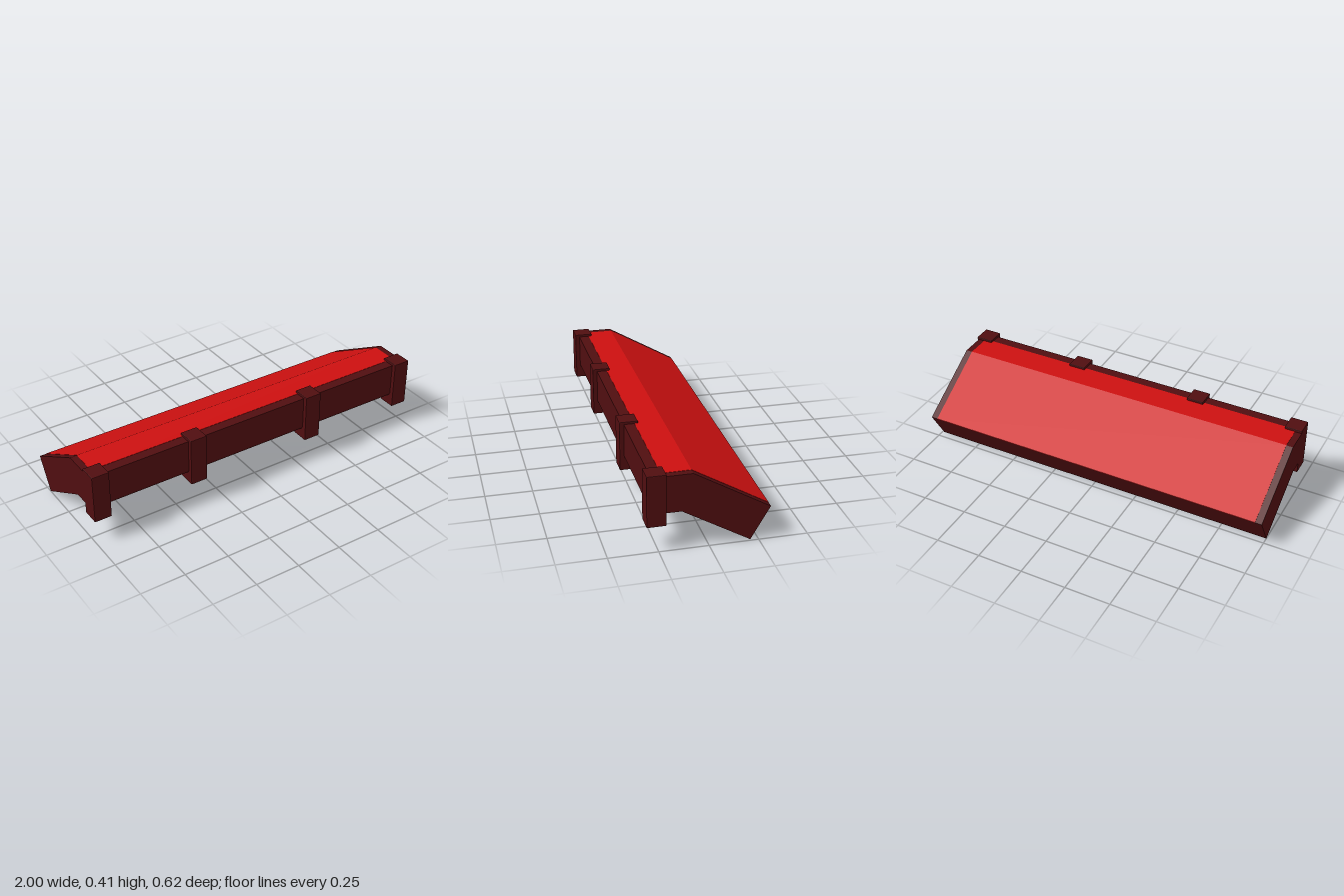
import * as THREE from 'three';
import { RoundedBoxGeometry } from 'three/addons/geometries/RoundedBoxGeometry.js';

export function createModel() {
  const group = new THREE.Group();
  group.name = 'awning';
  const frameMat = new THREE.MeshStandardMaterial({ color: 0x500e10, flatShading: true });
  const roofMat = new THREE.MeshStandardMaterial({ color: 0xcc1010, flatShading: true });

  // Extrudes a [z, y] profile along x
  function addProfile(name, points, x0, x1, material) {
    const shape = new THREE.Shape(points.map(([z, y]) => new THREE.Vector2(-z, y)));
    const geo = new THREE.ExtrudeGeometry(shape, { depth: x1 - x0, bevelEnabled: false });
    geo.rotateY(Math.PI / 2).translate(x0, 0, 0);
    const mesh = new THREE.Mesh(geo, material);
    mesh.name = name;
    group.add(mesh);
  }

  // Bent body: level front section, then a sloping back section
  const top = [[0.23, 0.395], [0.08, 0.395], [-0.309, 0.171]];
  addProfile('body', [
    [0.285, 0.395], ...top, [-0.21, 0], [0.135, 0.2], [0.278, 0.2], [0.285, 0.215],
  ], -1, 0.99, frameMat);

  // Thin red covering between the side and front borders
  const lift = 0.0015;
  addProfile('roofCovering', [
    ...top.map(([z, y]) => [z, y + lift]),
    ...top.slice().reverse().map(([z, y]) => [z, y - lift]),
  ], -0.963, 0.953, roofMat);

  // Four chamfered posts along the front
  for (const x of [-0.952, -0.388, 0.338, 0.952]) {
    const post = new THREE.Mesh(new RoundedBoxGeometry(0.096, 0.272, 0.098, 1, 0.004), frameMat);
    post.position.set(x, 0.272, 0.26);
    post.name = 'frontPost';
    group.add(post);
  }
  return group;
}
